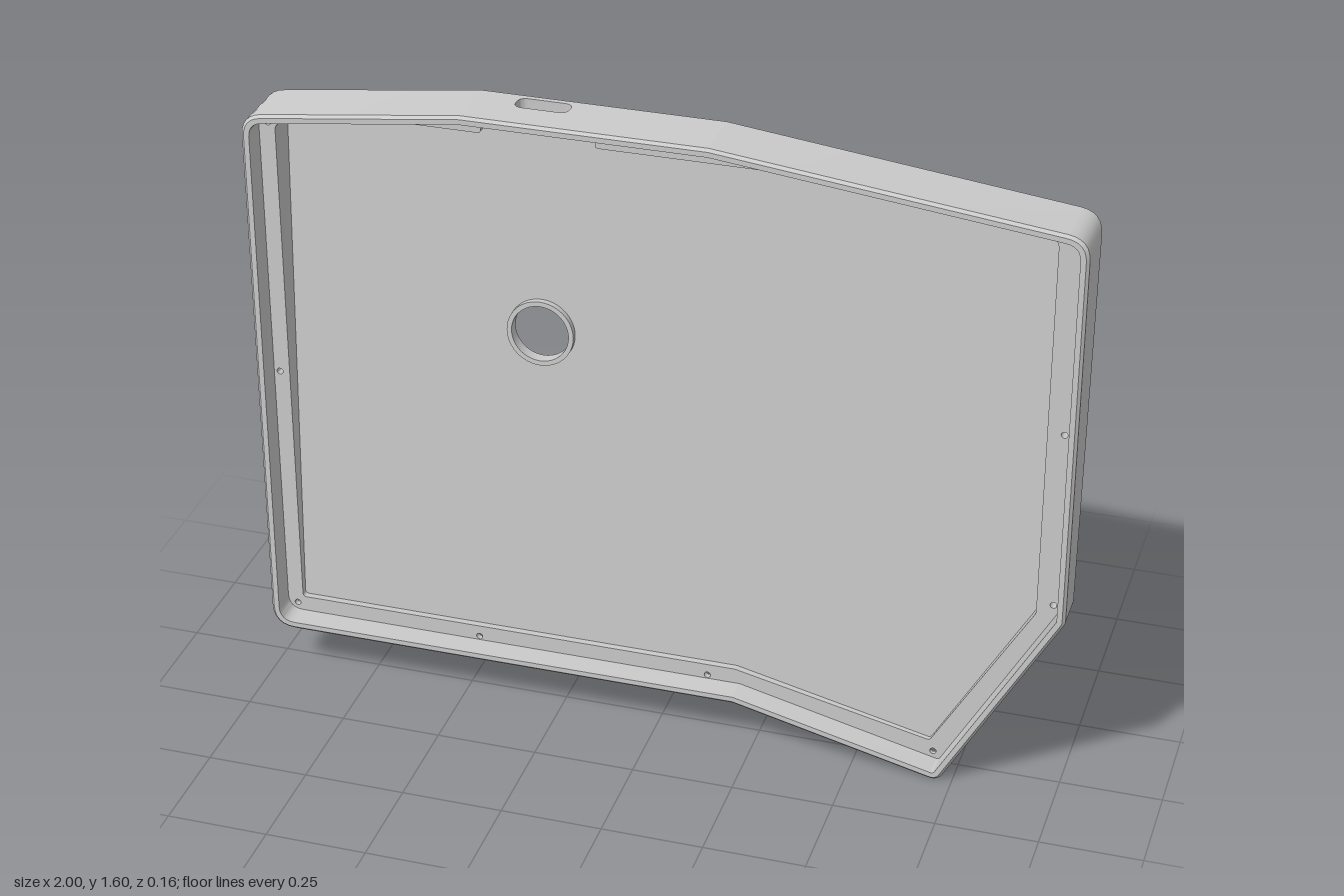
import * as THREE from 'three';
import { mergeGeometries, toCreasedNormals } from 'three/addons/utils/BufferGeometryUtils.js';

const STEPS = 6;                       // segments per rounded corner
const FRONT = 0.08, LEDGE = 0.018, FLOOR = 0.015, LIP = 0.02, CHAMFER = 0.007;
const TOP = 1.6, NOTCH = 1.555;
const back = (y) => -0.006 - 0.0463 * y; // sloping rear plane
const V2 = (x, y) => new THREE.Vector2(x, y);

// Corners as [x, y, radius], counter-clockwise
const OUTER = [
  [-1, 0.12, 0.06], [0.2, 0.12, 0.03], [0.715, -0.005, 0.03], [1, 0.5, 0.03],
  [1, 1.5, 0.06], [0.13, TOP, 0.05], [-0.46, TOP, 0.05], [-1, 1.53, 0.06],
];
const INNER = [
  [-0.94, 0.18, 0.01], [0.19, 0.18, 0.02], [0.68, 0.07, 0.01], [0.92, 0.48, 0.02],
  [0.92, 1.465, 0.03], [0.3, 1.535, 0.03], [-0.155, 1.535, 0.008], [-0.155, NOTCH, 0.006],
  [-0.43, NOTCH, 0.006], [-0.43, 1.535, 0.008], [-0.61, 1.535, 0.03], [-0.94, 1.49, 0.02],
];
const SCREWS = [
  [-0.957, 1.492], [-0.47, 1.564], [0.12, 1.567], [0.95, 1.46], [0.96, 0.97], [0.96, 0.51],
  [0.69, 0.04], [0.12, 0.15], [-0.47, 0.15], [-0.955, 0.16], [-0.965, 0.825],
];

// Polygon with rounded corners, moved inward by a distance
function outline(corners, inset = 0) {
  const n = corners.length;
  const raw = corners.map(([x, y]) => V2(x, y));
  const dir = raw.map((p, i) => raw[(i + 1) % n].clone().sub(p).normalize());
  const moved = raw.map((p, i) => {
    const a = dir[(i + n - 1) % n], b = dir[i];
    const k = inset / (1 + a.dot(b));
    return V2(p.x - (a.y + b.y) * k, p.y + (a.x + b.x) * k);
  });
  return moved.flatMap((p, i) => {
    const a = dir[(i + n - 1) % n], b = dir[i];
    const r = Math.max(corners[i][2] - inset, 0.004);
    const t = r * Math.tan(Math.acos(THREE.MathUtils.clamp(a.dot(b), -1, 1)) / 2);
    return new THREE.QuadraticBezierCurve(
      p.clone().addScaledVector(a, -t), p, p.clone().addScaledVector(b, t)).getPoints(STEPS);
  });
}

function circle(cx, cy, r, n = 20) {
  return Array.from({ length: n }, (_, i) => {
    const a = (i / n) * Math.PI * 2;
    return V2(cx + r * Math.cos(a), cy + r * Math.sin(a));
  });
}

// Ways to place a flat outline in space
const onZ = (f) => (p) => new THREE.Vector3(p.x, p.y, f(p.y));
const onY = (y) => (p) => new THREE.Vector3(p.x, y, p.y);
const rear = (d) => onZ((y) => back(y) + d);
const level = (z) => onZ(() => z);

// Flat face with holes
function cap(outer, holes, place, flip = false) {
  const shape = new THREE.Shape(outer);
  shape.holes = holes.map((h) => new THREE.Path(h));
  const g = new THREE.ShapeGeometry(shape);
  const pos = g.attributes.position;
  for (let i = 0; i < pos.count; i++) {
    const v = place(V2(pos.getX(i), pos.getY(i)));
    pos.setXYZ(i, v.x, v.y, v.z);
  }
  if (flip) g.index.array.reverse();
  return finish(g.toNonIndexed());
}

// Strip joining two matching loops; one segment may be left open
function band(loopA, placeA, loopB, placeB, flip = false, skip = -1) {
  const A = loopA.map(placeA), B = loopB.map(placeB), pts = [];
  for (let i = 0; i < A.length; i++) {
    if (i === skip) continue;
    const j = (i + 1) % A.length;
    const quad = [A[i], A[j], B[j], A[i], B[j], B[i]];
    pts.push(...(flip ? quad.reverse() : quad));
  }
  return finish(new THREE.BufferGeometry().setFromPoints(pts));
}

function finish(g) {
  g.deleteAttribute('uv');
  g.computeVertexNormals();
  return g;
}

export function createModel() {
  const group = new THREE.Group();
  const material = new THREE.MeshStandardMaterial({ color: 0xcccccc });
  const add = (name, parts) => {
    const mesh = new THREE.Mesh(toCreasedNormals(mergeGeometries(parts), 0.45), material);
    mesh.name = name;
    group.add(mesh);
  };

  const outer = outline(OUTER), edge = outline(OUTER, CHAMFER);
  const lip = outline(OUTER, LIP), inner = outline(INNER);
  const bores = SCREWS.map(([x, y]) => circle(x, y, 0.008));
  const sinks = SCREWS.map(([x, y]) => circle(x, y, 0.02));
  const hole = circle(-0.31, 1.01, 0.071, 48), collar = circle(-0.31, 1.01, 0.083, 48);

  // Port slot, drawn in x and z
  const slot = outline([
    [-0.36, -0.059, 0.022], [-0.23, -0.059, 0.022], [-0.23, -0.009, 0.022], [-0.36, -0.009, 0.022],
  ]);
  const topGap = 5 * (STEPS + 1) + STEPS, notchGap = 7 * (STEPS + 1) + STEPS;
  const panel = (loop, gap, z0, z1) => {
    const x0 = loop[gap + 1].x, x1 = loop[gap].x;
    return [V2(x0, z0), V2(x1, z0), V2(x1, z1), V2(x0, z1)];
  };

  add('outerWall', [
    band(edge, rear(0), outer, rear(CHAMFER)),
    band(outer, rear(CHAMFER), outer, level(FRONT - CHAMFER), false, topGap),
    band(outer, level(FRONT - CHAMFER), edge, level(FRONT)),
    cap(panel(outer, topGap, back(TOP) + CHAMFER, FRONT - CHAMFER), [slot], onY(TOP), true),
  ]);
  add('frontRim', [
    cap(edge, [lip], level(FRONT)),
    band(lip, level(LEDGE), lip, level(FRONT), true),
  ]);
  add('innerLedge', [
    cap(lip, [inner, ...bores], level(LEDGE)),
    band(inner, rear(FLOOR), inner, level(LEDGE), true, notchGap),
    cap(panel(inner, notchGap, back(NOTCH) + FLOOR, LEDGE), [slot], onY(NOTCH)),
  ]);
  add('portSlot', [band(slot, onY(NOTCH), slot, onY(TOP))]);
  add('floor', [cap(inner, [collar], rear(FLOOR))]);
  add('backPlate', [cap(edge, [hole, ...sinks], rear(0), true)]);
  add('holeCollar', [
    band(collar, rear(FLOOR), collar, rear(FLOOR + 0.015)),
    cap(collar, [hole], rear(FLOOR + 0.015)),
    band(hole, rear(0), hole, rear(FLOOR + 0.015), true),
  ]);
  // Countersunk screw holes through the ledge
  add('screwHoles', SCREWS.flatMap((_, i) => [
    band(sinks[i], rear(0), sinks[i], rear(0.015), true),
    cap(sinks[i], [bores[i]], rear(0.015), true),
    band(bores[i], rear(0.015), bores[i], level(LEDGE), true),
  ]));
  return group;
}
